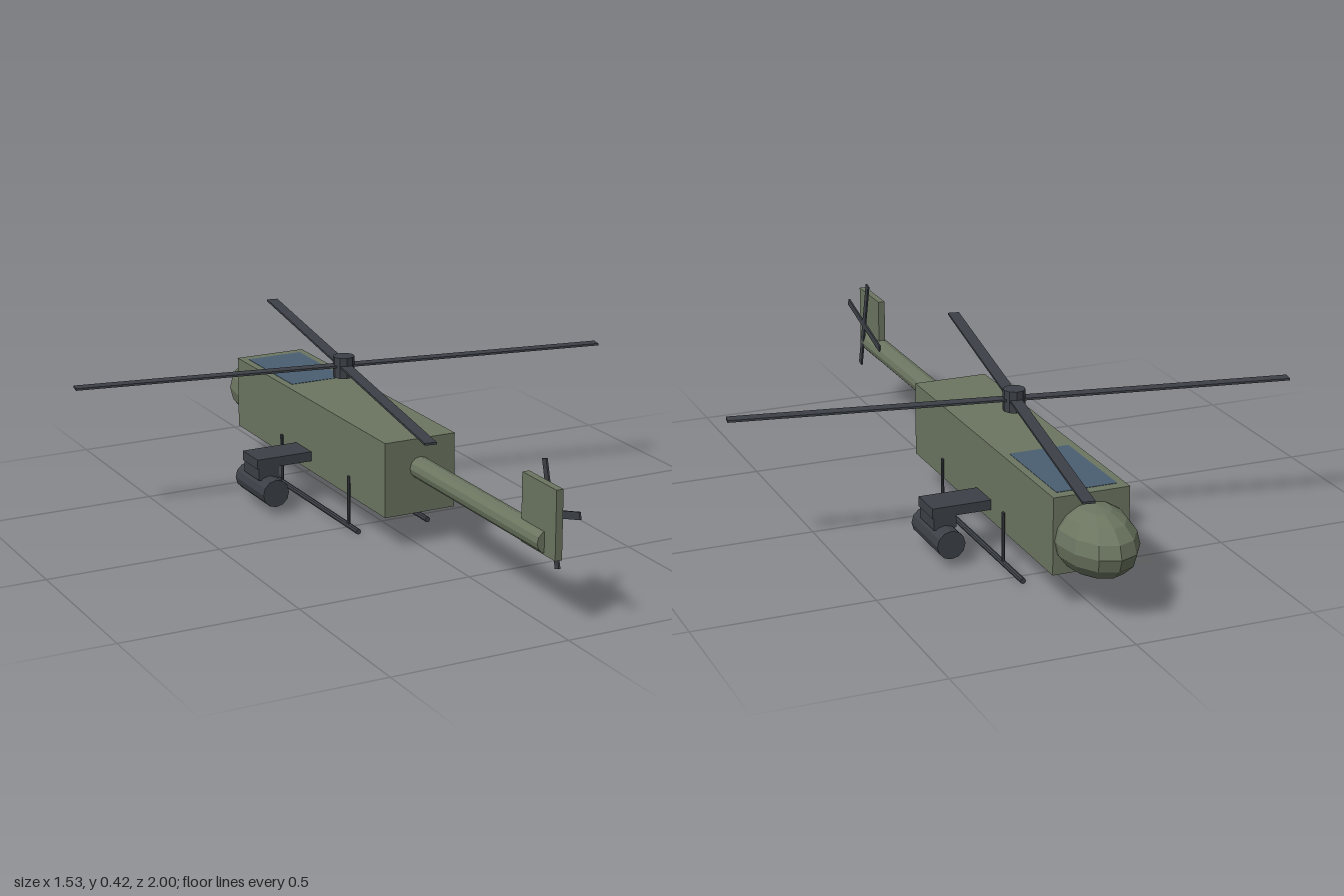
import * as THREE from 'three';

const green = new THREE.MeshStandardMaterial({ color: 0x6b7560, flatShading: true });
const dark = new THREE.MeshStandardMaterial({ color: 0x3c4046, flatShading: true });
const glass = new THREE.MeshStandardMaterial({ color: 0x4a5f72, flatShading: true });

function add(parent, name, geometry, material, x, y, z) {
  const mesh = new THREE.Mesh(geometry, material);
  mesh.name = name;
  mesh.position.set(x, y, z);
  parent.add(mesh);
  return mesh;
}

const box = (w, h, d) => new THREE.BoxGeometry(w, h, d);
// Cylinder lying along z
const rod = (r, length, sides) => new THREE.CylinderGeometry(r, r, length, sides).rotateX(Math.PI / 2);

export function createModel() {
  const model = new THREE.Group();
  model.name = 'helicopter';

  // Fuselage, with the nose towards -z
  add(model, 'fuselage', box(0.214, 0.212, 0.955), green, 0, 0.204, -0.253);
  const nose = new THREE.SphereGeometry(1, 12, 8);
  nose.scale(0.105, 0.094, 0.165);
  add(model, 'nose', nose, green, 0, 0.191, -0.745);
  add(model, 'canopyPanel', box(0.17, 0.004, 0.3), glass, 0, 0.309, -0.55);

  // Tail
  add(model, 'tailBoom', rod(0.031, 0.69, 12), green, 0, 0.227, 0.547);
  add(model, 'tailFin', box(0.02, 0.186, 0.165), green, 0, 0.287, 0.862);

  // Tail rotor: two crossed blades in the yz plane
  const tailRotor = new THREE.Group();
  tailRotor.name = 'tailRotor';
  tailRotor.position.set(0.028, 0.287, 0.86);
  tailRotor.rotation.x = -0.26;
  add(tailRotor, 'tailBlade', box(0.005, 0.28, 0.02), dark, 0, 0, 0);
  add(tailRotor, 'tailBlade', box(0.005, 0.02, 0.28), dark, 0, 0, 0);
  model.add(tailRotor);

  // Main rotor
  const mainRotor = new THREE.Group();
  mainRotor.name = 'mainRotor';
  mainRotor.position.set(0, 0.397, -0.234);
  mainRotor.rotation.y = -THREE.MathUtils.degToRad(10);
  add(mainRotor, 'rotorHub', new THREE.CylinderGeometry(0.031, 0.031, 0.06, 10), dark, 0, 0, 0);
  add(mainRotor, 'rotorBlade', box(1.55, 0.006, 0.033), dark, 0, 0.003, 0);
  add(mainRotor, 'rotorBlade', box(0.033, 0.006, 1.55), dark, 0, 0.003, 0);
  model.add(mainRotor);

  // Stub wings, pods and landing skids on both sides
  for (const side of [-1, 1]) {
    add(model, 'stubWing', box(0.18, 0.028, 0.1), dark, side * 0.186, 0.143, -0.28);
    add(model, 'podPylon', box(0.064, 0.04, 0.1), dark, side * 0.24, 0.115, -0.28);
    add(model, 'pod', rod(0.04, 0.19, 12), dark, side * 0.24, 0.065, -0.28);
    add(model, 'skid', rod(0.008, 0.62, 8), dark, side * 0.109, 0.01, -0.24);
    for (const z of [0.012, -0.42]) {
      add(model, 'skidStrut', new THREE.CylinderGeometry(0.005, 0.005, 0.145, 8), dark, side * 0.11, 0.083, z);
    }
  }

  return model;
}
